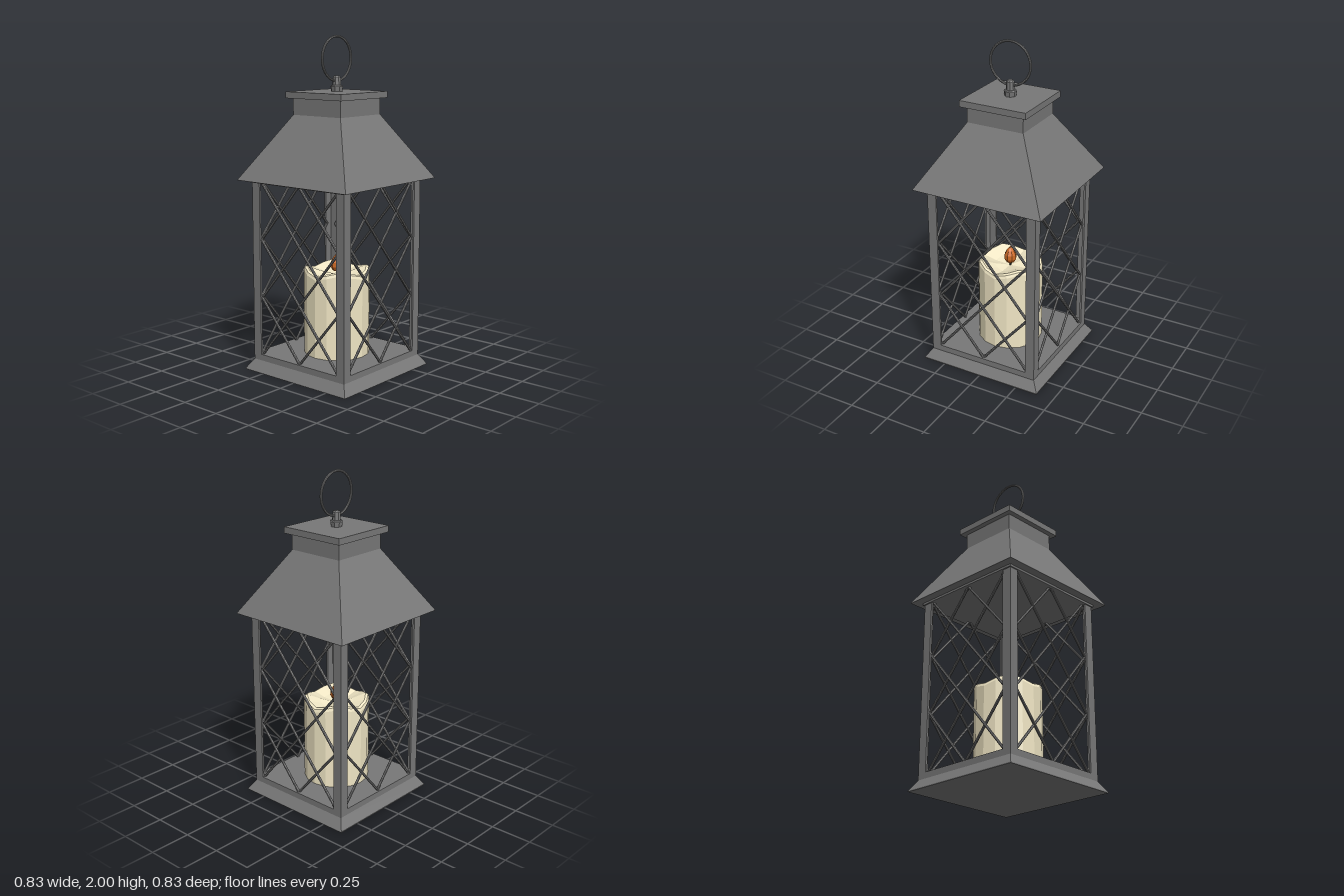
import * as THREE from 'three';

const metal = new THREE.MeshStandardMaterial({ color: 0x787878, flatShading: true });
const wax = new THREE.MeshStandardMaterial({ color: 0xf2e8c6, flatShading: true });
const fire = new THREE.MeshStandardMaterial({ color: 0xd06c26, flatShading: true });
const dark = new THREE.MeshStandardMaterial({ color: 0x3a3a3a, flatShading: true });

// Profile of [radius, y] pairs, bottom to top, turned around the y axis
function turned(name, profile, sides, material, phase = 0) {
  const pts = profile.map(([r, y]) => new THREE.Vector2(r, y));
  const mesh = new THREE.Mesh(new THREE.LatheGeometry(pts, sides, phase), material);
  mesh.name = name;
  return mesh;
}

// Square section part: the profile gives half widths
function square(name, profile) {
  return turned(name, profile.map(([w, y]) => [w * Math.SQRT2, y]), 4, metal, Math.PI / 4);
}

// Thin round bar between two points
function bar(a, b, radius) {
  const dir = new THREE.Vector3().subVectors(b, a);
  const mesh = new THREE.Mesh(new THREE.CylinderGeometry(radius, radius, dir.length(), 8), metal);
  mesh.position.addVectors(a, b).multiplyScalar(0.5);
  mesh.quaternion.setFromUnitVectors(new THREE.Vector3(0, 1, 0), dir.normalize());
  mesh.name = 'latticeBar';
  return mesh;
}

// One window of crossed bars, facing +z
function createLattice() {
  const group = new THREE.Group();
  group.name = 'lattice';
  const w = 0.298, z = 0.334;
  const y = [0.1, 0.453, 0.806, 1.155];
  const lines = [
    [-w, y[3], w, y[1]], [-w, y[2], w, y[0]],
    [0, y[3], w, y[2]], [-w, y[1], 0, y[0]],
  ];
  for (const [x1, y1, x2, y2] of lines) {
    for (const s of [1, -1]) {
      const depth = z + s * 0.002;
      group.add(bar(new THREE.Vector3(s * x1, y1, depth), new THREE.Vector3(s * x2, y2, depth), 0.008));
    }
  }
  return group;
}

// Corner post of angle section, open towards the inside
function createPost() {
  const outer = 0.353, inner = 0.295, t = 0.012;
  const section = new THREE.Shape([
    [outer, outer], [inner, outer], [inner, outer - t],
    [outer - t, outer - t], [outer - t, inner], [outer, inner],
  ].map(([x, y]) => new THREE.Vector2(x, y)));
  const geometry = new THREE.ExtrudeGeometry(section, { depth: 1.06, bevelEnabled: false });
  geometry.rotateX(-Math.PI / 2);
  const post = new THREE.Mesh(geometry, metal);
  post.position.y = 0.09;
  post.name = 'cornerPost';
  return post;
}

// Candle with a wavy rim, high on the diagonals, and a hollow top
function createCandle() {
  const group = new THREE.Group();
  group.name = 'candle';
  const body = turned('candleBody', [
    [0, 0.1], [0.198, 0.1], [0.198, 0.595], [0.192, 0.612], [0.178, 0.619], [0.1, 0.595], [0, 0.58],
  ], 16, wax);
  const pos = body.geometry.attributes.position;
  for (let i = 0; i < pos.count; i++) {
    if (pos.getY(i) < 0.3) continue;
    const x = pos.getX(i), z = pos.getZ(i);
    const wave = -Math.cos(4 * Math.atan2(x, z)) * 0.018 * Math.min(1, Math.hypot(x, z) / 0.17);
    pos.setY(i, pos.getY(i) + wave);
  }
  body.geometry.computeVertexNormals();
  const wick = new THREE.Mesh(new THREE.CylinderGeometry(0.006, 0.006, 0.05, 6), dark);
  wick.name = 'wick';
  wick.position.y = 0.595;
  const flame = turned('flame', [
    [0, 0.598], [0.024, 0.604], [0.038, 0.628], [0.037, 0.655], [0.023, 0.682], [0.008, 0.7], [0, 0.712],
  ], 8, fire);
  group.add(body, wick, flame);
  return group;
}

export function createModel() {
  const model = new THREE.Group();
  model.name = 'lantern';

  // Base, flared at the foot
  model.add(square('base', [[0, 0], [0.392, 0], [0.392, 0.006], [0.353, 0.065], [0.353, 0.102], [0, 0.102]]));

  // Posts and lattice, repeated on all four sides
  for (let i = 0; i < 4; i++) {
    const side = new THREE.Group();
    side.name = 'side';
    side.add(createPost(), createLattice());
    side.rotation.y = i * Math.PI / 2;
    model.add(side);
  }

  // Roof: top frame, slope and chimney neck, then the flat cap
  model.add(square('roof', [
    [0, 1.145], [0.362, 1.145], [0.362, 1.158], [0.4135, 1.158], [0.4135, 1.162],
    [0.18, 1.54], [0.18, 1.64], [0, 1.64],
  ]));
  model.add(square('cap', [[0, 1.637], [0.2115, 1.637], [0.2115, 1.675], [0, 1.675]]));

  // Octagonal finial and carrying ring
  model.add(turned('finial', [
    [0.033, 1.67], [0.038, 1.704], [0.034, 1.71], [0.026, 1.712],
    [0.024, 1.758], [0.017, 1.766], [0, 1.766],
  ], 8, metal, Math.PI / 8));
  const ring = new THREE.Mesh(new THREE.TorusGeometry(0.128, 0.0075, 8, 48), metal);
  ring.position.y = 1.8645;
  ring.name = 'carryingRing';
  model.add(ring);

  model.add(createCandle());
  return model;
}
